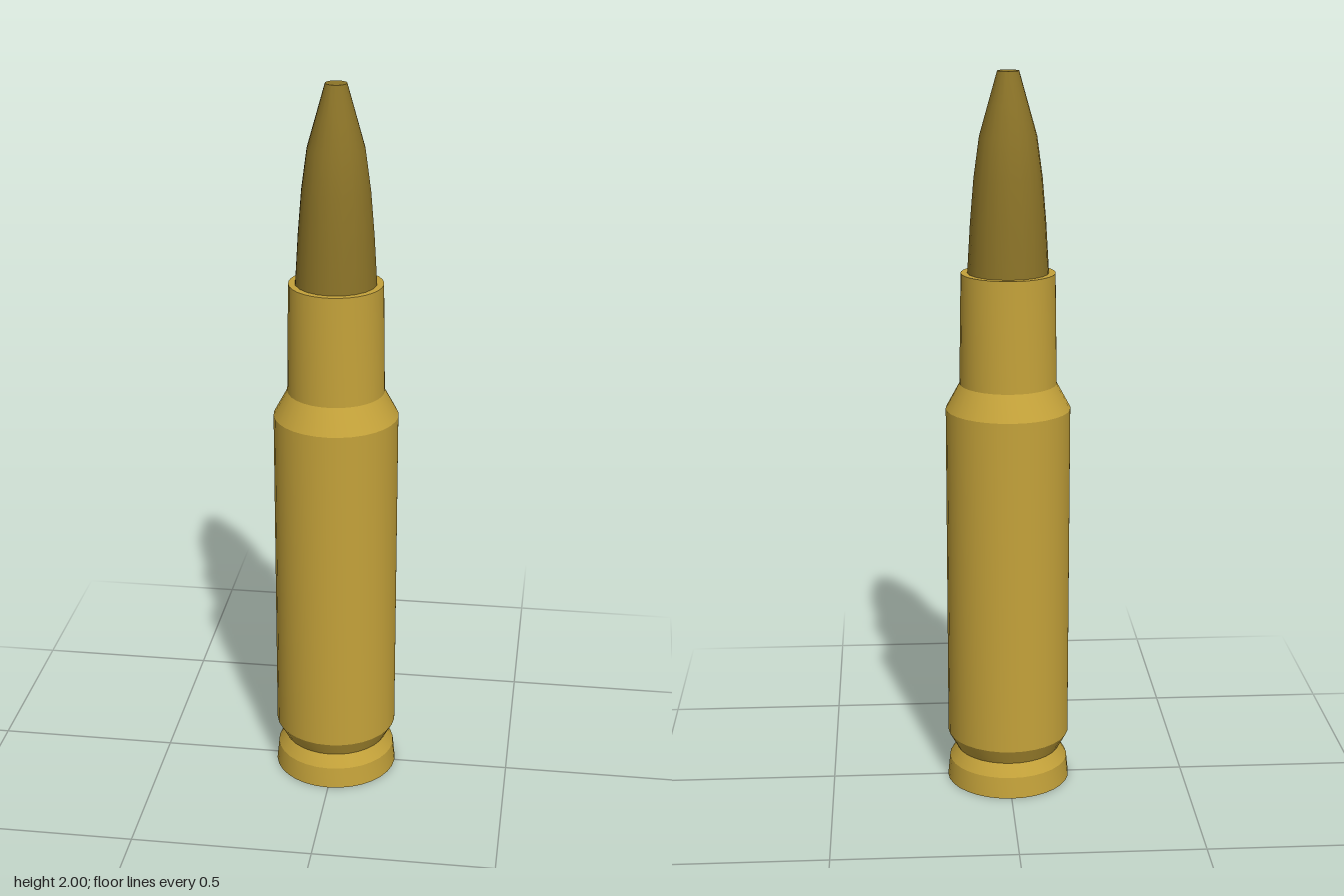
import * as THREE from 'three';
import { toCreasedNormals } from 'three/addons/utils/BufferGeometryUtils.js';

// Revolve a [radius, height] profile around the y axis, keeping its edges crisp
function turned(name, profile, sides, material) {
  const points = profile.map(([r, y]) => new THREE.Vector2(r, y));
  const geometry = toCreasedNormals(new THREE.LatheGeometry(points, sides), 0.4);
  const mesh = new THREE.Mesh(geometry, material);
  mesh.name = name;
  return mesh;
}

export function createModel() {
  const brass = new THREE.MeshStandardMaterial({ color: 0xc4a23a });
  brass.name = 'brass';
  const darkBrass = new THREE.MeshStandardMaterial({ color: 0x8c7428 });
  darkBrass.name = 'dark brass';

  const model = new THREE.Group();
  model.name = 'cartridge';

  // Case: flat base, rim, extractor groove, body, shoulder, neck and lip
  model.add(turned('case', [
    [0, 0], [0.173, 0], [0.167, 0.06], [0.146, 0.095], [0.171, 0.14],
    [0.171, 1.09], [0.133, 1.16], [0.128, 1.465], [0.108, 1.465],
  ], 32, brass));

  // Tapered tip seated in the neck, with a small flat nose
  model.add(turned('tip', [
    [0.111, 1.44], [0.11, 1.465], [0.102, 1.6], [0.092, 1.72],
    [0.077, 1.83], [0.053, 1.915], [0.029, 2], [0, 2],
  ], 20, darkBrass));

  return model;
}
